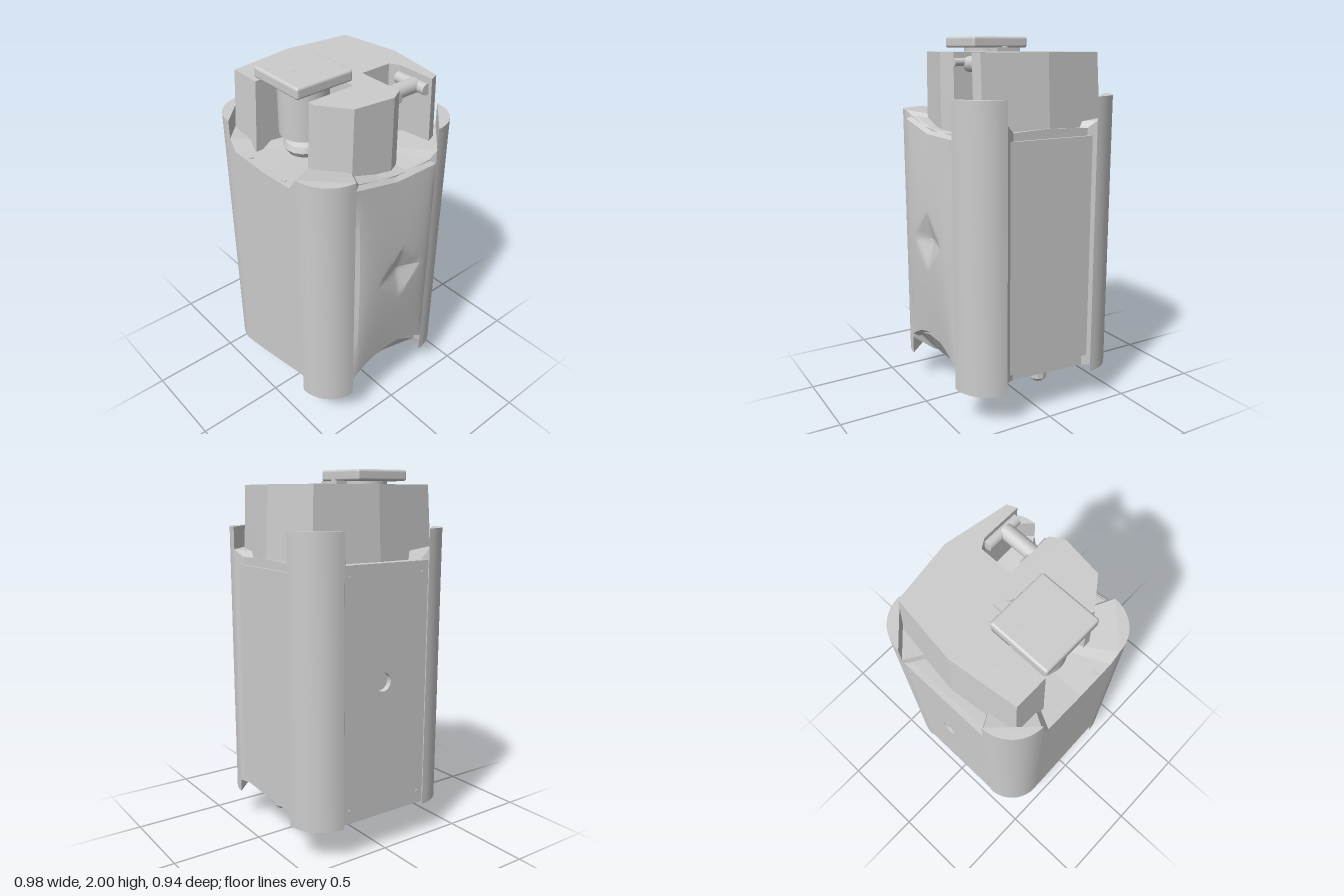
import * as THREE from 'three';
import { toCreasedNormals } from 'three/addons/utils/BufferGeometryUtils.js';
import { RoundedBoxGeometry } from 'three/addons/geometries/RoundedBoxGeometry.js';

export function createModel() {
  const model = new THREE.Group();
  const grey = new THREE.MeshStandardMaterial({ color: 0xcccccc, side: THREE.DoubleSide });
  grey.name = 'casing grey';
  const CX = -0.02; // centre line of the casing

  function add(name, geometry, x = 0, y = 0, z = 0) {
    const mesh = new THREE.Mesh(geometry, grey);
    mesh.name = name;
    mesh.position.set(x, y, z);
    model.add(mesh);
    return mesh;
  }
  // Upright prism from a plan of [x, z] points
  function prism(plan, y0, y1) {
    const shape = new THREE.Shape(plan.map(([x, z]) => new THREE.Vector2(x, -z)));
    const g = new THREE.ExtrudeGeometry(shape, { depth: y1 - y0, bevelEnabled: false });
    return g.rotateX(-Math.PI / 2).translate(0, y0, 0);
  }
  function lathe(name, profile, x, y, z, sides = 16) {
    const g = new THREE.LatheGeometry(profile.map(([r, h]) => new THREE.Vector2(r, h)), sides);
    return add(name, toCreasedNormals(g, 0.6), x, y, z);
  }
  function rod(name, r, length, axis, x, y, z) {
    const m = add(name, new THREE.CylinderGeometry(r, r, length, 16), x, y, z);
    if (axis === 'x') m.rotation.z = Math.PI / 2;
    if (axis === 'z') m.rotation.x = Math.PI / 2;
    return m;
  }

  // Main casing: octagonal wall, [x, z, bottom, top], with a fan on top and a stepped floor
  const rim = [
    [-0.29, 0.47, 0.19, 1.60], [-0.25, 0.47, 0.19, 1.54], [CX, 0.47, 0.24, 1.53],
    [0.2, 0.47, 0.29, 1.54], [0.25, 0.47, 0.30, 1.61],
    [0.45, 0.27, 0.28, 1.61], [0.43, 0.24, 0.32, 1.58], [0.43, 0.08, 0.36, 1.54],
    [0.43, -0.1, 0.36, 1.52], [0.43, -0.24, 0.28, 1.53], [0.45, -0.27, 0.25, 1.58],
    [0.25, -0.47, 0.25, 1.58], [0.2, -0.44, 0.24, 1.54], [CX, -0.44, 0.23, 1.55],
    [-0.25, -0.44, 0.22, 1.54], [-0.29, -0.47, 0.22, 1.58],
    [-0.49, -0.27, 0.22, 1.58], [-0.457, -0.24, 0.2, 1.54], [-0.457, 0.24, 0.2, 1.54],
    [-0.49, 0.27, 0.2, 1.6],
  ];
  const pos = [];
  const quad = (a, b, c, d) => pos.push(...a, ...b, ...c, ...a, ...c, ...d);
  const floorRing = ([x, z]) => [CX + (x - CX) * 0.78, 0.205, z * 0.78];
  rim.forEach((p, i) => {
    const q = rim[(i + 1) % rim.length];
    const low = ([x, z, y]) => [x, y, z], high = ([x, z, , y]) => [x, y, z];
    quad(low(p), low(q), high(q), high(p));
    quad(low(q), low(p), floorRing(p), floorRing(q));
    pos.push(...high(p), ...high(q), CX, 1.52, 0);
    pos.push(...floorRing(q), ...floorRing(p), CX, 0.165, 0);
  });
  const wall = new THREE.BufferGeometry();
  wall.setAttribute('position', new THREE.Float32BufferAttribute(pos, 3));
  wall.computeVertexNormals();
  add('casing', wall);

  // Rounded corner posts
  for (const sx of [-1, 1]) for (const sz of [-1, 1]) {
    const plan = [];
    for (let i = 0; i <= 12; i++) {
      const a = (i / 12) * Math.PI / 2;
      plan.push([CX + sx * (0.27 + 0.2 * Math.cos(a)), sz * (0.27 + 0.2 * Math.sin(a))]);
    }
    const top = sx > 0 && sz > 0 ? 1.61 : 1.7;
    add('cornerPost', toCreasedNormals(prism(plan, 0.18, top), 0.5));
  }

  // Bulged left panel with a sunken diamond; first and last rows turn in to the casing
  const bulge = new THREE.PlaneGeometry(1, 1, 28, 48);
  const bp = bulge.attributes.position;
  for (let i = 0; i < bp.count; i++) {
    const u = bp.getX(i) * 2, v = bp.getY(i) + 0.5, z = -u * 0.27;
    const low = 0.37 - 0.1 * u * u;
    const y = low + v * (1.53 + 0.06 * Math.max(0, -u) - low);
    const out = 0.035 * Math.sqrt(Math.max(0, 1 - u ** 4)) * Math.sin(Math.PI * v);
    const dent = Math.max(0, 1 - Math.abs(z + 0.03) / 0.16 - Math.abs(y - 0.94) / 0.16);
    const lip = v < 0.001 || v > 0.999;
    bp.setXYZ(i, lip ? 0.42 : 0.45 + out - 0.045 * dent, y, z);
  }
  add('leftPanel', toCreasedNormals(bulge, 0.3));

  // Right panel with round opening and corner screws
  const plate = new THREE.Shape();
  plate.moveTo(-0.27, 0.2).lineTo(0.27, 0.2).lineTo(0.27, 1.54).lineTo(-0.27, 1.54).closePath();
  const hole = new THREE.Path();
  hole.absarc(-0.02, 0.93, 0.05, 0, Math.PI * 2, true);
  plate.holes.push(hole);
  const side = new THREE.ExtrudeGeometry(plate, { depth: 0.03, bevelEnabled: false, curveSegments: 20 });
  add('rightPanel', side.rotateY(-Math.PI / 2), -0.457, 0, 0);
  for (const z of [-0.23, 0.23]) for (const y of [0.27, 1.48])
    rod('panelScrew', 0.01, 0.006, 'x', -0.488, y, z);

  // Back panel
  add('backPanel', new THREE.BoxGeometry(0.56, 1.22, 0.022), CX, 0.89, -0.445);

  // Upper housing with a front bay and an open left rear bay, tapering upward
  const housing = prism([
    [-0.36, 0.365], [-0.405, 0], [-0.36, -0.36], [CX, -0.41], [0.33, -0.35], [0.35, -0.3],
    [0.13, -0.3], [0.08, -0.27], [0.08, -0.09], [0.34, -0.09], [0.38, -0.02], [0.35, 0.2],
    [0.2, 0.31], [0.16, 0.31], [0.16, 0.04], [-0.18, 0.04], [-0.18, 0.365],
  ], 1.52, 1.92);
  const hp = housing.attributes.position;
  for (let i = 0; i < hp.count; i++) {
    const k = 1 + 0.05 * (1.92 - hp.getY(i)) / 0.4;
    hp.setX(i, hp.getX(i) < 0 ? hp.getX(i) * k : hp.getX(i));
    hp.setZ(i, hp.getZ(i) * k);
  }
  housing.computeVertexNormals();
  add('upperHousing', housing);

  // Front head: mounting plate, cylinder and nozzle
  add('topPlate', new RoundedBoxGeometry(0.34, 0.06, 0.335, 3, 0.014), -0.015, 1.97, 0.203);
  for (const [x, z] of [[-0.09, 0.14], [0.05, 0.14], [CX, 0.26]])
    rod('plateScrew', 0.012, 0.004, 'y', x, 1.999, z);
  add('headCylinder', new THREE.CylinderGeometry(0.128, 0.128, 0.28, 32), CX, 1.805, 0.2);
  lathe('headNozzle', [[0, 0.14], [0.06, 0.14], [0.06, 0.11], [0.1, 0.09], [0.11, 0.06],
    [0.09, 0.03], [0.05, 0.02], [0.03, 0]], CX, 1.53, 0.2);
  add('rearClamp', new THREE.BoxGeometry(0.14, 0.05, 0.07), CX, 1.915, 0.0);
  lathe('clampScrew', [[0, 0.015], [0.018, 0.015], [0.018, 0]], CX, 1.935, 0.0);

  // Fittings in the rear bay
  rod('rearBayRail', 0.03, 0.2, 'x', 0.23, 1.86, -0.29);
  rod('frontBayRail', 0.02, 0.17, 'x', 0.255, 1.87, -0.095);
  rod('bayRoller', 0.04, 0.19, 'z', 0.25, 1.86, -0.19);
  lathe('bayFitting', [[0, 0.16], [0.05, 0.16], [0.05, 0.13], [0.03, 0.13], [0.03, 0.05],
    [0.05, 0.05], [0.05, 0]], 0.125, 1.52, -0.18, 12);

  // Front rim screws
  for (const x of [-0.16, 0.12]) rod('rimScrew', 0.014, 0.008, 'y', x, 1.536, 0.44);

  // Nozzles beneath the casing
  lathe('bottomNozzle', [[0, 0], [0.012, 0.01], [0.03, 0.09], [0.042, 0.11], [0.042, 0.15],
    [0.06, 0.17], [0.07, 0.22]], CX, 0, 0, 10);
  lathe('frontFitting', [[0, 0], [0.03, 0], [0.035, 0.03], [0.06, 0.04], [0.06, 0.07],
    [0.04, 0.14]], CX, 0.09, 0.25, 10);
  lathe('rearFitting', [[0, 0], [0.03, 0], [0.05, 0.02], [0.05, 0.08]], CX, 0.155, -0.35, 10);
  return model;
}
